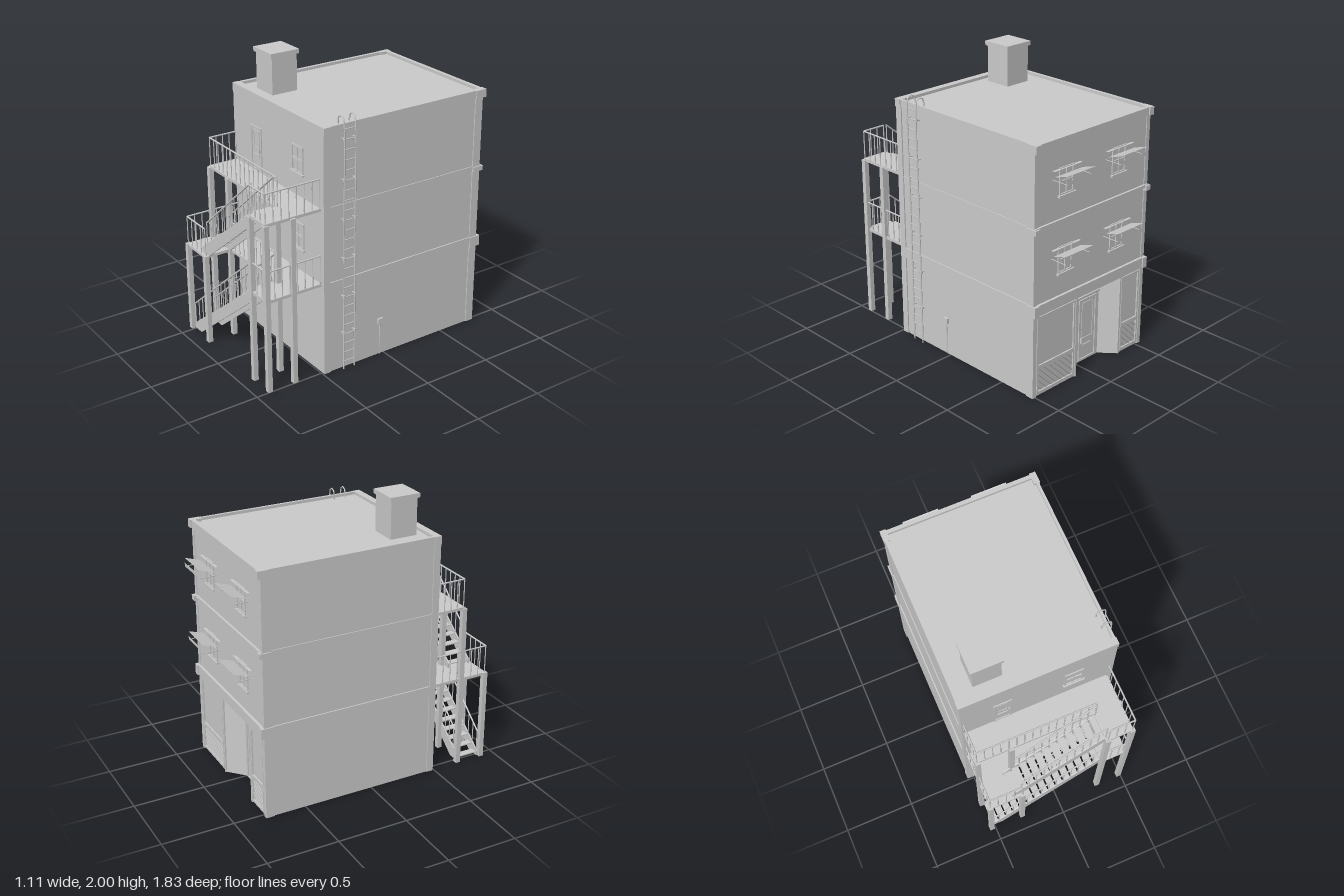
import * as THREE from 'three';

export function createModel() {
  const model = new THREE.Group();
  const mat = new THREE.MeshStandardMaterial({ color: 0xcccccc });
  const thin = new THREE.MeshStandardMaterial({ color: 0xcccccc, side: THREE.DoubleSide });

  const group = (name, parent = model) => {
    const g = new THREE.Group();
    g.name = name;
    parent.add(g);
    return g;
  };
  const add = (parent, name, geo, m = mat) => {
    const mesh = new THREE.Mesh(geo, m);
    mesh.name = name;
    parent.add(mesh);
    return mesh;
  };
  // box given by its extents
  const box = (parent, name, x0, x1, y0, y1, z0, z1) => {
    const geo = new THREE.BoxGeometry(x1 - x0, y1 - y0, z1 - z0);
    geo.translate((x0 + x1) / 2, (y0 + y1) / 2, (z0 + z1) / 2);
    return add(parent, name, geo);
  };
  // round bar between two points
  const bar = (parent, name, a, b, r = 0.004, sides = 6) => {
    const p = new THREE.Vector3(...a), q = new THREE.Vector3(...b), d = q.clone().sub(p);
    const mesh = add(parent, name, new THREE.CylinderGeometry(r, r, d.length(), sides));
    mesh.position.copy(p).add(q).multiplyScalar(0.5);
    mesh.quaternion.setFromUnitVectors(new THREE.Vector3(0, 1, 0), d.normalize());
    return mesh;
  };
  const shapeOf = pts => new THREE.Shape(pts.map(p => new THREE.Vector2(...p)));

  // ---- building: ground floor with a splayed entrance recess, upper floors above
  const building = group('building');
  const plan = shapeOf([[-0.54, 0.45], [-0.54, -0.78], [-0.31, -0.78], [-0.22, -0.68],
    [0.0, -0.68], [0.11, -0.78], [0.515, -0.78], [0.515, 0.45]]);
  const ground = new THREE.ExtrudeGeometry(plan, { depth: 0.6, bevelEnabled: false });
  ground.rotateX(Math.PI / 2).translate(0, 0.6, 0);
  add(building, 'groundFloor', ground);
  box(building, 'upperFloors', -0.54, 0.515, 0.6, 1.715, -0.785, 0.45);
  box(building, 'frontWall', -0.547, 0.523, 0, 1.735, 0.44, 0.49);
  box(building, 'rearPilasterRight', -0.547, -0.515, 0, 1.735, -0.79, -0.73);
  box(building, 'rearPilasterLeft', 0.49, 0.523, 0, 1.735, -0.79, -0.73);
  for (const [y0, y1, out] of [[0.59, 0.665, 0.006], [1.175, 1.195, 0.003], [1.68, 1.735, 0.006]]) {
    box(building, 'sideBandRight', -0.543 - out, -0.525, y0, y1, -0.79, 0.44);
    box(building, 'sideBandLeft', 0.505, 0.518 + out, y0, y1, -0.79, 0.44);
    box(building, 'rearBand', -0.547, 0.523, y0, y1, -0.797 - out, -0.775);
  }
  for (const [y0, y1] of [[0.59, 0.665], [1.155, 1.19], [1.68, 1.735]])
    for (const [x0, x1] of [[-0.555, -0.515], [0.49, 0.532]]) {
      box(building, 'rearCornerCap', x0, x1, y0, y1, -0.812, -0.73);
    }
  for (const [x0, x1] of [[-0.553, -0.53], [0.508, 0.53]])
    box(building, 'frontCornerCap', x0, x1, 1.68, 1.735, 0.44, 0.49);

  const chimney = group('chimney');
  box(chimney, 'chimneyShaft', -0.412, -0.217, 1.7, 1.97, 0.192, 0.385);
  box(chimney, 'chimneyCap', -0.425, -0.205, 1.97, 2, 0.18, 0.397);

  // ---- framed sash window, s = +1 facing front, -1 facing rear
  const span = (z, s, d) => s > 0 ? [z, z + d] : [z - d, z];
  function frame(parent, name, x0, x1, y0, y1, z, s, t, d) {
    const zz = span(z, s, d);
    box(parent, name, x0, x0 + t, y0, y1, ...zz);
    box(parent, name, x1 - t, x1, y0, y1, ...zz);
    box(parent, name, x0 + t, x1 - t, y1 - t, y1, ...zz);
    box(parent, name, x0 + t, x1 - t, y0, y0 + t, ...zz);
  }
  function sashWindow(cx, y, z, s) {
    const g = group('window'), w = 0.065, h = 0.185;
    frame(g, 'windowFrame', cx - w, cx + w, y, y + h, z, s, 0.012, 0.008);
    box(g, 'meetingRail', cx - w, cx + w, y + h / 2 - 0.005, y + h / 2 + 0.005, ...span(z, s, 0.008));
    box(g, 'mullion', cx - 0.004, cx + 0.004, y, y + h, ...span(z, s, 0.006));
    box(g, 'sill', cx - w - 0.01, cx + w + 0.01, y - 0.01, y + 0.004, ...span(z, s, 0.018));
  }
  function door(cx, y, z, s, w, h) {
    const g = group('door');
    frame(g, 'doorFrame', cx - w, cx + w, y, y + h, z, s, 0.012, 0.007);
    frame(g, 'doorPane', cx - w + 0.03, cx + w - 0.03, y + 0.16, y + h - 0.03, z, s, 0.006, 0.004);
    box(g, 'letterSlot', cx - 0.035, cx + 0.035, y + 0.1, y + 0.115, ...span(z, s, 0.007));
    box(g, 'doorHandle', cx + w - 0.025, cx + w - 0.017, y + 0.13, y + 0.17, ...span(z, s, 0.015));
  }
  // sloped awning with front flap and side arms
  function awning(x0, x1, y) {
    const g = group('awning');
    const path = [[-0.785, y + 0.06], [-0.805, y + 0.06], [-0.913, y + 0.025], [-0.913, y]];
    for (let i = 0; i < 3; i++) {
      const [za, ya] = path[i], [zb, yb] = path[i + 1];
      const geo = new THREE.PlaneGeometry(x1 - x0, Math.hypot(zb - za, yb - ya));
      geo.rotateX(-Math.atan2(za - zb, ya - yb));
      geo.translate((x0 + x1) / 2, (ya + yb) / 2, (za + zb) / 2);
      add(g, 'awningCloth', geo, thin);
    }
    for (const x of [x0 + 0.004, x1 - 0.004]) bar(g, 'awningArm', [x, y + 0.002, -0.785], [x, y + 0.002, -0.912], 0.003);
  }
  for (const floor of [0.66, 1.19]) {
    const sill = floor + 0.16;
    for (const cx of [-0.25, 0.24]) {
      sashWindow(cx, sill, -0.785, -1);
      awning(cx - 0.127, cx + 0.127, floor + 0.28);
    }
    sashWindow(0.235, sill, 0.49, 1);
    door(-0.26, floor + 0.01, 0.49, 1, 0.065, 0.31);
  }

  // ---- shop front on the rear ground floor
  const shop = group('shopFront');
  for (const [x0, x1] of [[0.13, 0.485], [-0.51, -0.33]]) {
    frame(shop, 'shopWindowFrame', x0, x1, 0.21, 0.575, -0.78, -1, 0.014, 0.01);
    frame(shop, 'lowerPanelFrame', x0, x1, 0.02, 0.21, -0.78, -1, 0.014, 0.01);
    for (let c = x0 - 0.14; c < x1 - 0.02; c += 0.045) {
      const t0 = Math.max(0.03, x0 + 0.01 - c), t1 = Math.min(0.2, x1 - 0.01 - c);
      if (t1 - t0 > 0.01) bar(shop, 'diagonalSlat', [c + t0, t0, -0.78], [c + t1, t1, -0.78], 0.006, 4);
    }
  }
  for (const x of [0.11, -0.325]) box(shop, 'entrancePost', x, x + 0.015, 0, 0.59, -0.79, -0.77);
  door(-0.11, 0.01, -0.68, -1, 0.085, 0.46);
  box(shop, 'transom', -0.22, 0, 0.48, 0.495, -0.69, -0.68);

  // ---- meter box on the side wall
  const meter = group('meterBox');
  box(meter, 'meterCase', 0.51, 0.53, 0.235, 0.275, 0.015, 0.055);
  bar(meter, 'conduit', [0.518, 0, 0.035], [0.518, 0.24, 0.035], 0.004);

  // ---- roof ladder with curled tops
  const ladder = group('ladder');
  for (const z of [0.262, 0.348]) {
    const pts = [[0.541, 0], [0.541, 0.9], [0.541, 1.745], [0.533, 1.775], [0.51, 1.785], [0.488, 1.778], [0.477, 1.755], [0.477, 1.71]];
    const curve = new THREE.CatmullRomCurve3(pts.map(([x, y]) => new THREE.Vector3(x, y, z)), false, 'centripetal');
    add(ladder, 'ladderRail', new THREE.TubeGeometry(curve, 60, 0.005, 6));
    for (let i = 1; i <= 6; i++) {
      bar(ladder, 'wallBracket', [0.51, 0.273 * i, z], [0.541, 0.273 * i, z], 0.005);
      bar(ladder, 'bracketCollar', [0.541, 0.273 * i - 0.009, z], [0.541, 0.273 * i + 0.009, z], 0.009, 8);
    }
  }
  for (let y = 0.06; y < 1.74; y += 0.0685) bar(ladder, 'rung', [0.541, y, 0.262], [0.541, y, 0.348], 0.004);

  // ---- fire stairs: posts, decks, flights and railings
  const stairs = group('fireStairs');
  const OUT = 0.897, IN = 0.702;
  for (const [x, z, h] of [[-0.527, OUT, 0.66], [-0.527, IN, 1.18], [-0.288, OUT, 0.66], [-0.288, IN, 1.18],
    [0.31, OUT, 1.18], [0.31, IN, 1.18], [0.485, OUT, 1.18], [0.485, IN, 1.18]])
    box(stairs, 'post', x - 0.017, x + 0.017, 0, h, z - 0.017, z + 0.017);
  for (const y of [0.66, 1.19]) box(stairs, 'walkway', -0.535, 0.49, y - 0.02, y, 0.485, 0.705);
  box(stairs, 'lowerLeftLanding', 0.295, 0.49, 0.64, 0.66, 0.705, 0.905);
  box(stairs, 'lowerRightLanding', -0.535, -0.285, 0.64, 0.66, 0.705, 0.905);
  box(stairs, 'upperLandingDeck', 0.295, 0.49, 1.17, 1.19, 0.705, 0.905);

  // railing from foot a to foot b, with rail heights ha and hb
  function railing(a, b, ha = 0.2, hb = ha, gap = 0.055) {
    const g = group('railing', stairs);
    const A = new THREE.Vector3(...a), B = new THREE.Vector3(...b);
    const n = Math.max(1, Math.round(A.distanceTo(B) / gap));
    bar(g, 'handrail', [a[0], a[1] + ha, a[2]], [b[0], b[1] + hb, b[2]], 0.006);
    for (let i = 0; i <= n; i++) {
      const p = A.clone().lerp(B, i / n), h = ha + (hb - ha) * i / n;
      bar(g, 'baluster', [p.x, p.y, p.z], [p.x, p.y + h, p.z], 0.004);
    }
  }
  for (const y of [0.66, 1.19]) {
    railing([0.485, y, 0.495], [0.485, y, OUT]);
    railing([0.31, y, OUT], [0.485, y, OUT]);
  }
  railing([-0.53, 0.66, 0.495], [-0.53, 0.66, OUT]);
  railing([-0.53, 0.66, OUT], [-0.288, 0.66, OUT]);
  railing([-0.288, 0.66, 0.697], [0.31, 0.66, 0.697]);
  railing([-0.53, 1.19, 0.495], [-0.53, 1.19, 0.697]);
  railing([-0.53, 1.19, 0.697], [0.31, 1.19, 0.697]);

  function flight(x0, y0, x1, y1, railX, steps) {
    const g = group('flight', stairs);
    const side = shapeOf([[x0, y0], [x0 + 0.09, y0], [x1, y1 - 0.085], [x1, y1], [x0, y0 + 0.035]]);
    for (const z of [0.71, 0.873]) {
      const geo = new THREE.ExtrudeGeometry(side, { depth: 0.01, bevelEnabled: false });
      geo.translate(0, 0, z);
      add(g, 'stringer', geo);
      const k = (railX - x0) / (x1 - x0), foot = y0 + 0.035 + k * (y1 - y0 - 0.035);
      railing([railX, foot, z + 0.005], [x1, y1, z + 0.005], 0.15, 0.2, 0.068);
    }
    for (let i = 1; i <= steps; i++) {
      const x = x0 + (x1 - x0) * (i - 0.4) / steps, y = y0 + (y1 - y0) * (i - 0.4) / steps;
      box(g, 'tread', x - 0.024, x + 0.024, y - 0.008, y, 0.718, 0.875);
    }
  }
  flight(-0.52, 0, 0.3, 0.665, -0.51, 15);
  flight(-0.36, 0.66, 0.3, 1.195, -0.29, 12);
  return model;
}
